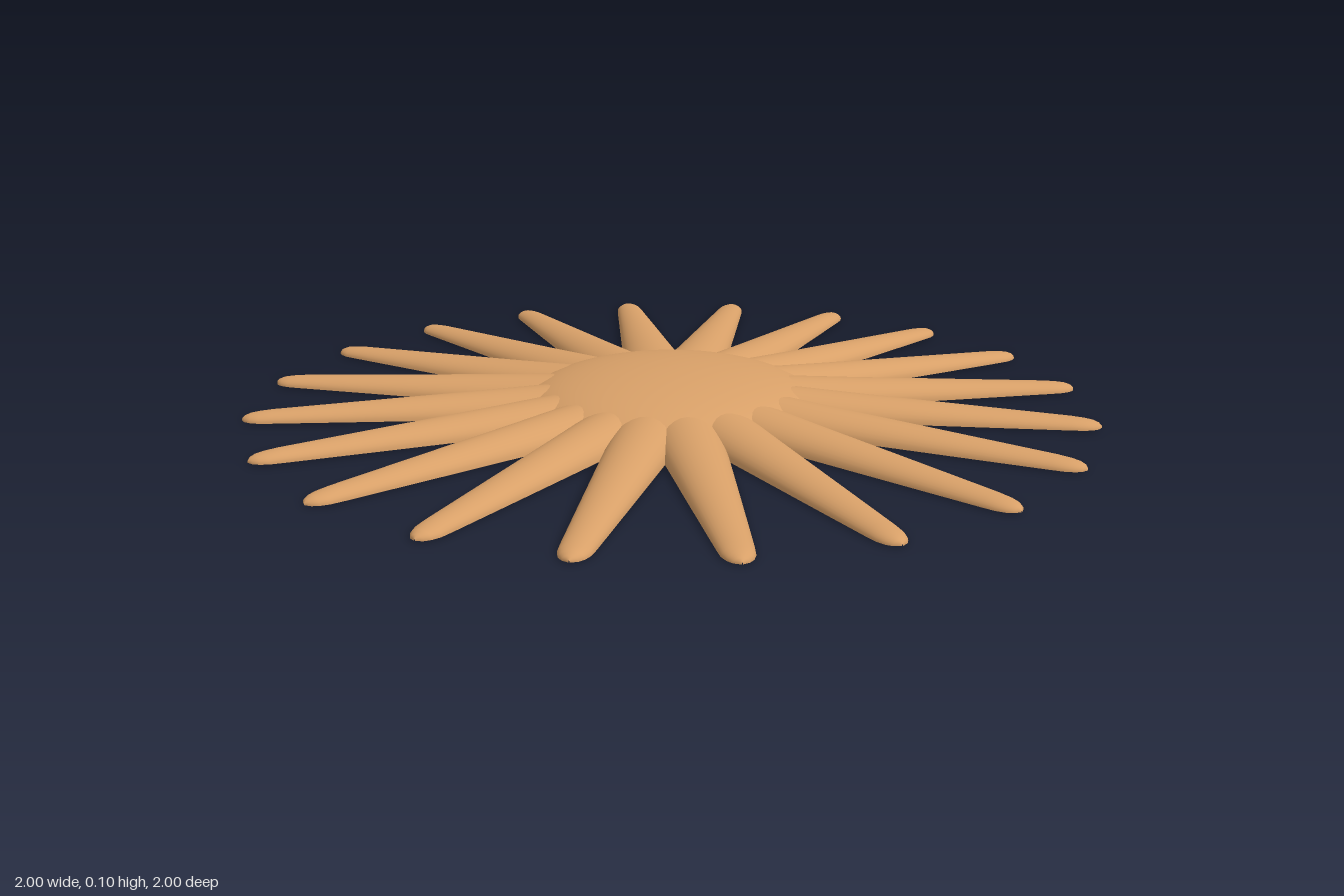
import * as THREE from 'three';

const RAYS = 20;
const BASE = 0.012;

// Flat-bottomed ray along +x, lofted from half-ellipse sections [radius, half width, height]
function rayGeometry() {
  const sections = [
    [0.28, 0.081, 0.057], [0.45, 0.069, 0.047], [0.7, 0.052, 0.034], [0.93, 0.036, 0.022],
    [0.96, 0.033, 0.019], [0.98, 0.026, 0.016], [0.993, 0.016, 0.011], [1, 0.001, 0.004],
  ];
  const positions = [], index = [];
  const addSkin = (count, point) => {
    const start = positions.length / 3;
    sections.forEach((s, i) => {
      for (let k = 0; k <= count; k++) {
        positions.push(...point(s, k / count));
        if (i === sections.length - 1 || k === count) continue;
        const a = start + i * (count + 1) + k, b = a + count + 1;
        index.push(a, b, a + 1, b, b + 1, a + 1);
      }
    });
  };
  // rounded top, then flat underside
  addSkin(16, ([r, w, h], t) => [r, BASE + h * Math.sin(Math.PI * t), w * Math.cos(Math.PI * t)]);
  addSkin(1, ([r, w], t) => [r, BASE, w * (2 * t - 1)]);

  const geometry = new THREE.BufferGeometry();
  geometry.setAttribute('position', new THREE.Float32BufferAttribute(positions, 3));
  geometry.setIndex(index);
  geometry.computeVertexNormals();
  return geometry;
}

// Shallow elliptical dome closed by a flat base
function domeGeometry() {
  const radius = 0.36, height = 0.097, bottom = 0.01;
  const profile = [new THREE.Vector2(0, bottom)];
  for (let i = 0; i <= 20; i++) {
    const a = (i / 20) * Math.PI / 2;
    profile.push(new THREE.Vector2(i === 20 ? 0 : radius * Math.cos(a), bottom + height * Math.sin(a)));
  }
  return new THREE.LatheGeometry(profile, 80);
}

export function createModel() {
  const model = new THREE.Group();
  model.name = 'sunburst';
  const wood = new THREE.MeshStandardMaterial({ color: 0xd8a068 });
  wood.name = 'warm tan';

  const dome = new THREE.Mesh(domeGeometry(), wood);
  dome.name = 'centreDome';
  model.add(dome);

  // Evenly spaced rays
  const rays = new THREE.Group();
  rays.name = 'rays';
  const geometry = rayGeometry();
  for (let i = 0; i < RAYS; i++) {
    const ray = new THREE.Mesh(geometry, wood);
    ray.name = 'ray' + (i + 1);
    ray.rotation.y = (i / RAYS) * Math.PI * 2;
    rays.add(ray);
  }
  model.add(rays);
  return model;
}
